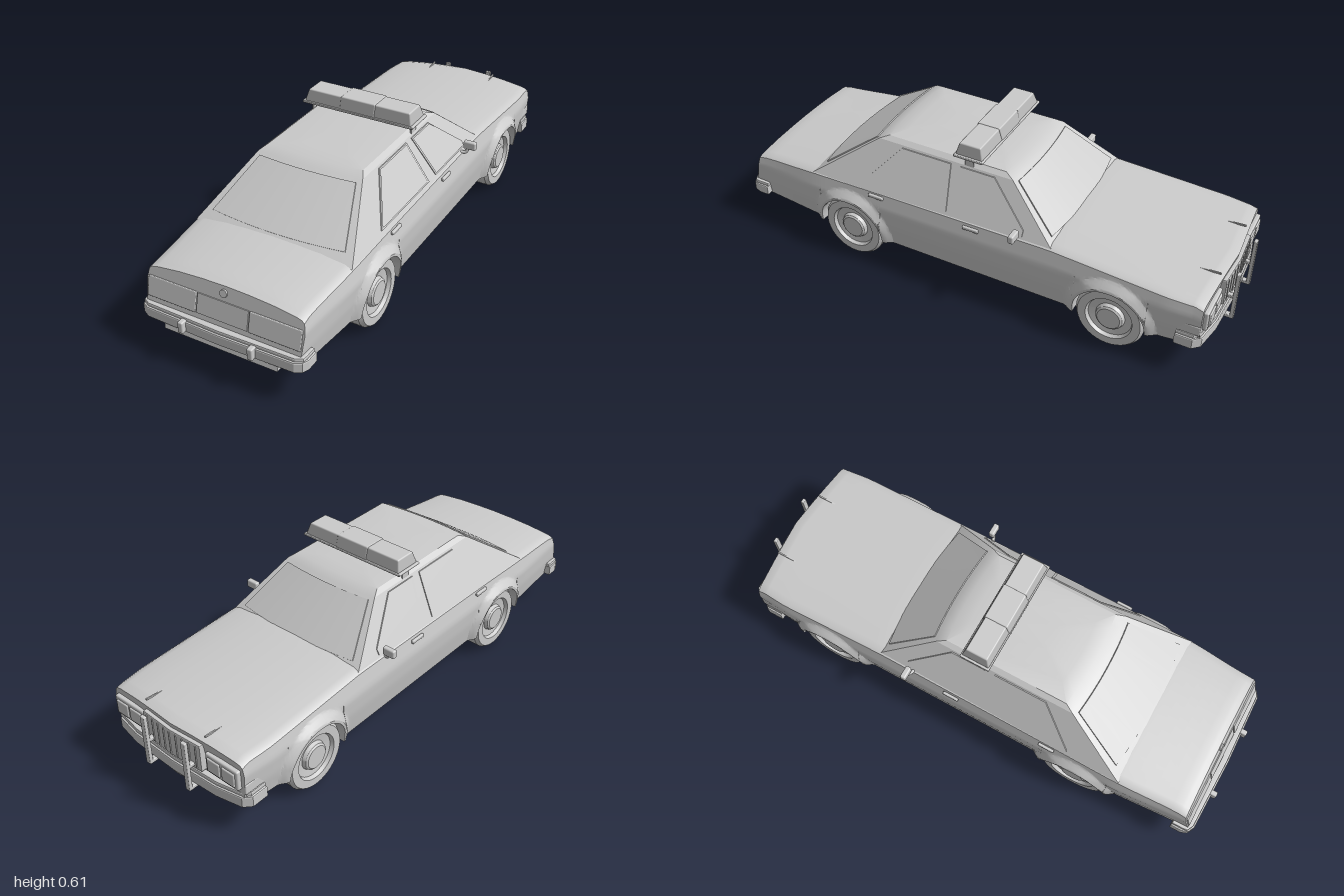
import * as THREE from 'three';
import { toCreasedNormals } from 'three/addons/utils/BufferGeometryUtils.js';
import { RoundedBoxGeometry } from 'three/addons/geometries/RoundedBoxGeometry.js';

const { clamp, smoothstep, lerp } = THREE.MathUtils;
const material = new THREE.MeshStandardMaterial({ color: 0xcccccc });
const WHEELS = [0.478, -0.612], AXLE_Y = 0.131, ARCH = 0.138;

// Piecewise linear lookup in a table of [key, value]
function lookup(table, t) {
  for (let i = 1; i < table.length; i++) {
    const [a, va] = table[i - 1], [b, vb] = table[i];
    if (t <= b) return lerp(va, vb, clamp((t - a) / (b - a), 0, 1));
  }
  return table[table.length - 1][1];
}

// Skin closed rings of Vector3 and cap both ends
function loft(rings, crease = 0.45) {
  const n = rings[0].length, pos = [], index = [];
  rings.forEach(r => r.forEach(p => pos.push(p.x, p.y, p.z)));
  for (let s = 0; s < rings.length - 1; s++) for (let i = 0; i < n; i++) {
    const a = s * n + i, b = s * n + (i + 1) % n, d = a + n, c = b + n;
    index.push(a, d, b, b, d, c);
  }
  [0, rings.length - 1].forEach((s, end) => {
    const c = new THREE.Vector3();
    rings[s].forEach(p => c.addScaledVector(p, 1 / n));
    const k = pos.length / 3;
    pos.push(c.x, c.y, c.z);
    for (let i = 0; i < n; i++) {
      const a = s * n + i, b = s * n + (i + 1) % n;
      end ? index.push(k, b, a) : index.push(k, a, b);
    }
  });
  const g = new THREE.BufferGeometry();
  g.setAttribute('position', new THREE.Float32BufferAttribute(pos, 3));
  g.setIndex(index);
  return toCreasedNormals(g, crease);
}

// Mirror across x = 0, keeping faces outward
function mirrored(geometry) {
  const g = geometry.index ? geometry.toNonIndexed() : geometry.clone();
  g.scale(-1, 1, 1);
  for (const attr of Object.values(g.attributes)) {
    const size = attr.itemSize, a = attr.array;
    for (let i = 0; i < attr.count; i += 3) for (let k = 0; k < size; k++) {
      const p = (i + 1) * size + k, q = (i + 2) * size + k;
      [a[p], a[q]] = [a[q], a[p]];
    }
  }
  return g;
}

// Slab from half a plan outline of [x, z], mirrored, between two heights
function planSlab(half, y0, y1, bevel = 0.005) {
  const pts = [...half, ...half.slice().reverse().filter(p => p[0] > 0).map(([x, z]) => [-x, z])];
  const shape = new THREE.Shape(pts.map(([x, z]) => new THREE.Vector2(x, -z)));
  const g = new THREE.ExtrudeGeometry(shape, { depth: y1 - y0 - 2 * bevel, bevelEnabled: bevel > 0,
    bevelSize: bevel, bevelThickness: bevel, bevelOffset: -bevel, bevelSegments: 2 });
  return g.rotateX(-Math.PI / 2).translate(0, y0 + bevel, 0);
}

// Lower body: height, width and wheel arch rules
const topY = z => lookup([[-0.95, 0.33], [-0.91, 0.342], [-0.37, 0.372], [0.3, 0.366], [0.64, 0.36], [0.89, 0.34], [0.92, 0.333]], z);
const sillY = z => lookup([[-0.95, 0.135], [-0.7, 0.118], [-0.45, 0.108], [0.3, 0.108], [0.65, 0.12], [0.92, 0.137]], z);
function sideX(y, z) {
  const base = lookup([[0.1, 0.308], [0.2, 0.325], [0.27, 0.33], [0.35, 0.313]], y);
  const taper = 1 - 0.06 * smoothstep(z, 0.6, 0.92) - 0.03 * smoothstep(-z, 0.8, 0.94);
  const d = Math.min(...WHEELS.map(w => Math.hypot(z - w, y - AXLE_Y)));
  return base * taper + 0.02 * clamp((0.178 - d) / 0.03, 0, 1);
}
function bodySection(z) {
  const top = topY(z), edge = top - 0.02, sill = sillY(z);
  const dz = Math.min(...WHEELS.map(w => Math.abs(z - w)));
  const low = dz < ARCH ? AXLE_Y + Math.sqrt(ARCH * ARCH - dz * dz) : sill;
  const w = sideX(edge, z), half = [[0, top], [0.3 * w, top - 0.002], [0.6 * w, top - 0.007],
    [0.9 * w, edge + 0.003], [0.97 * w, edge - 0.002]];
  for (let i = 0; i <= 14; i++) {
    const y = lerp(edge - 0.01, low, i / 14);
    half.push([sideX(y, z), y]);
  }
  half.push([0.225, low], [0.225, Math.min(sill, 0.112)], [0, Math.min(sill, 0.112)]);
  const ring = [...half, ...half.slice(1, -1).reverse().map(([x, y]) => [-x, y])];
  // Raked tail and pointed nose
  return ring.map(([x, y]) => new THREE.Vector3(x, y, z + smoothstep(z, 0.65, 0.92) * (0.33 - y) * 0.25
    - 0.022 * smoothstep(-z, 0.7, 0.94) * (1 - clamp(Math.abs(x) / 0.3, 0, 1))));
}
function bodyGeometry() {
  const zs = [];
  for (let z = -0.94; z < 0.92; z += 0.04) zs.push(z);
  zs.push(0.92, 0.89, -0.91);
  for (const w of WHEELS) {
    for (let i = -18; i <= 18; i++) zs.push(w + i * 0.01);
    for (const s of [-1, 1]) zs.push(w + s * (ARCH - 0.0003), w + s * (ARCH + 0.0003), w + s * (ARCH - 0.004));
  }
  return loft(zs.sort((a, b) => a - b).map(bodySection));
}

// Cabin: rows of [y, half width, hood end z, tail end z, bow]
const CABIN = [[0.335, 0.315, -0.385, 0.65, 0.03], [0.515, 0.213, -0.17, 0.395, 0.014],
  [0.529, 0.195, -0.135, 0.36, 0.012], [0.536, 0.13, -0.09, 0.31, 0.01], [0.539, 0.05, -0.03, 0.2, 0]];
const cabinX = y => lookup([[0.335, 0.315], [0.515, 0.213]], y);
function cabinGeometry() {
  return loft(CABIN.map(([y, w, zh, zt, bow]) => {
    const ring = [];
    for (let i = -4; i <= 4; i++) ring.push(new THREE.Vector3(-w * i / 4, y, zt + bow * (1 - i * i / 16)));
    for (let i = -4; i <= 4; i++) ring.push(new THREE.Vector3(w * i / 4, y, zh - bow * (1 - i * i / 16)));
    return ring;
  }), 0.35);
}
// Raised glass pane over the sloping hood end (k = 2) or tail end (k = 3) of the cabin
function screenGeometry(k) {
  const sign = k === 3 ? 1 : -1, [lo, hi] = CABIN;
  return loft([[0.17, 0], [0.17, 1], [0.95, 1], [0.95, 0]].map(([t, out]) => {
    const ring = [], pane = (i, lift) => new THREE.Vector3(
      -sign * 0.9 * lerp(lo[1], hi[1], t) * i / 4, lerp(lo[0], hi[0], t) + lift,
      lerp(lo[k], hi[k], t) + sign * (lerp(lo[4], hi[4], t) * (1 - i * i * 0.81 / 16) + lift));
    for (let i = -4; i <= 4; i++) ring.push(pane(i, out * 0.003));
    for (let i = 4; i >= -4; i--) ring.push(pane(i, -0.004));
    return ring;
  }), 0.3);
}
// Side window trim from [z, y] corners, laid on the sloping cabin side
function windowTrim(corners) {
  const cz = corners.reduce((s, p) => s + p[0], 0) / corners.length;
  const path = k => corners.map(([z, y]) => new THREE.Vector2(-lerp(cz, z, k), lerp(0.43, y, k)));
  const shape = new THREE.Shape(path(1));
  shape.holes.push(new THREE.Path(path(0.93)));
  const g = new THREE.ExtrudeGeometry(shape, { depth: 0.008, bevelEnabled: false });
  g.rotateY(Math.PI / 2);
  const p = g.attributes.position;
  for (let i = 0; i < p.count; i++) p.setX(i, p.getX(i) + cabinX(p.getY(i)) - 0.004);
  g.computeVertexNormals();
  return g;
}

export function createModel() {
  const car = new THREE.Group();
  car.name = 'patrolCar';
  const add = (name, geometry) => {
    const mesh = new THREE.Mesh(geometry, material);
    mesh.name = name;
    car.add(mesh);
  };
  const pair = (name, geometry) => {
    add(name + 'Left', geometry);
    add(name + 'Right', mirrored(geometry));
  };
  const box = (w, h, d, x, y, z) => new THREE.BoxGeometry(w, h, d).translate(x, y, z);
  const rounded = (w, h, d, r, x, y, z) => new RoundedBoxGeometry(w, h, d, 2, r).translate(x, y, z);

  add('body', bodyGeometry());
  add('cabin', cabinGeometry());
  add('windscreen', screenGeometry(2));
  add('rearScreen', screenGeometry(3));
  pair('rearWindowTrim', windowTrim([[0.43, 0.355], [0.29, 0.507], [0.08, 0.507], [0.057, 0.355]]));
  pair('frontWindowTrim', windowTrim([[0.0, 0.355], [0.04, 0.507], [-0.1, 0.507], [-0.255, 0.375], [-0.255, 0.355]]));
  pair('rearDoorHandle', rounded(0.012, 0.014, 0.065, 0.004, 0.325, 0.325, 0.355));
  pair('frontDoorHandle', rounded(0.012, 0.014, 0.065, 0.004, 0.325, 0.325, -0.055));
  pair('hoodCrease', box(0.005, 0.006, 0.15, 0, 0, 0).rotateX(0.07).translate(0.145, 0.337, -0.865));

  // Wheels: tyre, dished rim and hub cap in one turned profile
  const profile = [[0, -0.042], [0.118, -0.042], [0.13, -0.028], [0.131, 0.028], [0.121, 0.042], [0.09, 0.042],
    [0.084, 0.028], [0.056, 0.024], [0.051, 0.038], [0.044, 0.043], [0, 0.043]];
  const wheel = toCreasedNormals(new THREE.LatheGeometry(profile.map(p => new THREE.Vector2(...p)), 40), 0.6)
    .rotateZ(-Math.PI / 2);
  WHEELS.forEach((z, i) => pair(i ? 'frontWheel' : 'rearWheel', wheel.clone().translate(0.283, AXLE_Y, z)));

  // Nose: grille, headlights, corner lamps, bumper and push bars
  add('grille', planSlab([[0, -0.972], [0.14, -0.964], [0.14, -0.92], [0, -0.92]], 0.2, 0.312));
  for (let i = -4; i <= 4; i++) add('grilleBar', box(0.004, 0.095, 0.01, i * 0.03, 0.256, -0.97 + Math.abs(i) * 0.0017));
  pair('headlightSurround', rounded(0.15, 0.08, 0.04, 0.006, 0.228, 0.25, -0.936));
  for (const x of [0.194, 0.262]) pair('headlight', rounded(0.058, 0.055, 0.012, 0.004, x, 0.25, -0.956));
  pair('cornerLamp', rounded(0.014, 0.04, 0.1, 0.004, 0.314, 0.213, -0.89));
  const front = d => [[0, -0.975 + d], [0.2, -0.967 + d], [0.305, -0.947 + d], [0.33 - d, -0.92], [0.33 - d, -0.855],
    [0.295, -0.855], [0.295, -0.9], [0, -0.92]];
  add('frontBumper', planSlab(front(0), 0.132, 0.178));
  add('frontBumperTop', planSlab(front(0.007), 0.174, 0.193));
  pair('pushBar', rounded(0.022, 0.205, 0.014, 0.003, 0.1, 0.225, -0.993));
  pair('pushBarFoot', rounded(0.022, 0.014, 0.1, 0.003, 0.1, 0.128, -0.95));
  pair('pushBarBracket', rounded(0.018, 0.014, 0.04, 0.003, 0.1, 0.22, -0.975));

  // Tail: lamp band, plate, lock, bumper and guards
  const tail = (g, x, y, out = 0) => g.rotateX(-0.245).translate(x, y, 0.92 + (0.33 - y) * 0.25 + out);
  pair('tailLamp', tail(new RoundedBoxGeometry(0.197, 0.074, 0.012, 2, 0.003), 0.203, 0.245));
  add('plate', tail(new THREE.BoxGeometry(0.2, 0.072, 0.008), 0, 0.245));
  add('trunkLock', tail(new THREE.CylinderGeometry(0.014, 0.014, 0.014, 24).rotateX(Math.PI / 2), 0, 0.308));
  const rear = d => [[0, 0.985 - d], [0.29, 0.978 - d], [0.315, 0.965 - d], [0.325 - d, 0.94], [0.325 - d, 0.895],
    [0.285, 0.895], [0.285, 0.925], [0, 0.93]];
  add('rearBumper', planSlab(rear(0), 0.137, 0.178));
  add('rearBumperTop', planSlab(rear(0.007), 0.174, 0.191));
  pair('bumperGuard', rounded(0.021, 0.045, 0.03, 0.005, 0.137, 0.163, 0.985));

  // Door mirrors on curved arms
  pair('mirror', rounded(0.051, 0.033, 0.022, 0.006, 0.34, 0.374, -0.238));
  const arm = new THREE.CatmullRomCurve3([[0.305, 0.342, -0.225], [0.326, 0.344, -0.232], [0.333, 0.362, -0.236]]
    .map(p => new THREE.Vector3(...p)));
  pair('mirrorArm', new THREE.TubeGeometry(arm, 10, 0.007, 8));

  // Roof light bar: tapered lenses, centre housing, base plate and legs
  const taper = (w, h, d, inX, inZ) => {
    const g = new RoundedBoxGeometry(w, h, d, 2, 0.005), p = g.attributes.position;
    for (let i = 0; i < p.count; i++) {
      const t = p.getY(i) / h + 0.5;
      p.setXYZ(i, p.getX(i) * (1 - inX * t), p.getY(i), p.getZ(i) * (1 - inZ * t));
    }
    return g;
  };
  add('lightBarLens', taper(0.452, 0.047, 0.112, 0.055, 0.24).translate(0, 0.585, 0.003));
  add('lightBarCentre', taper(0.146, 0.05, 0.117, 0, 0.22).translate(0, 0.586, 0.003));
  add('lightBarBase', rounded(0.468, 0.01, 0.12, 0.003, 0, 0.559, 0.003));
  pair('lightBarLeg', box(0.006, 0.05, 0.035, 0.21, 0.534, 0.008));
  return car;
}
